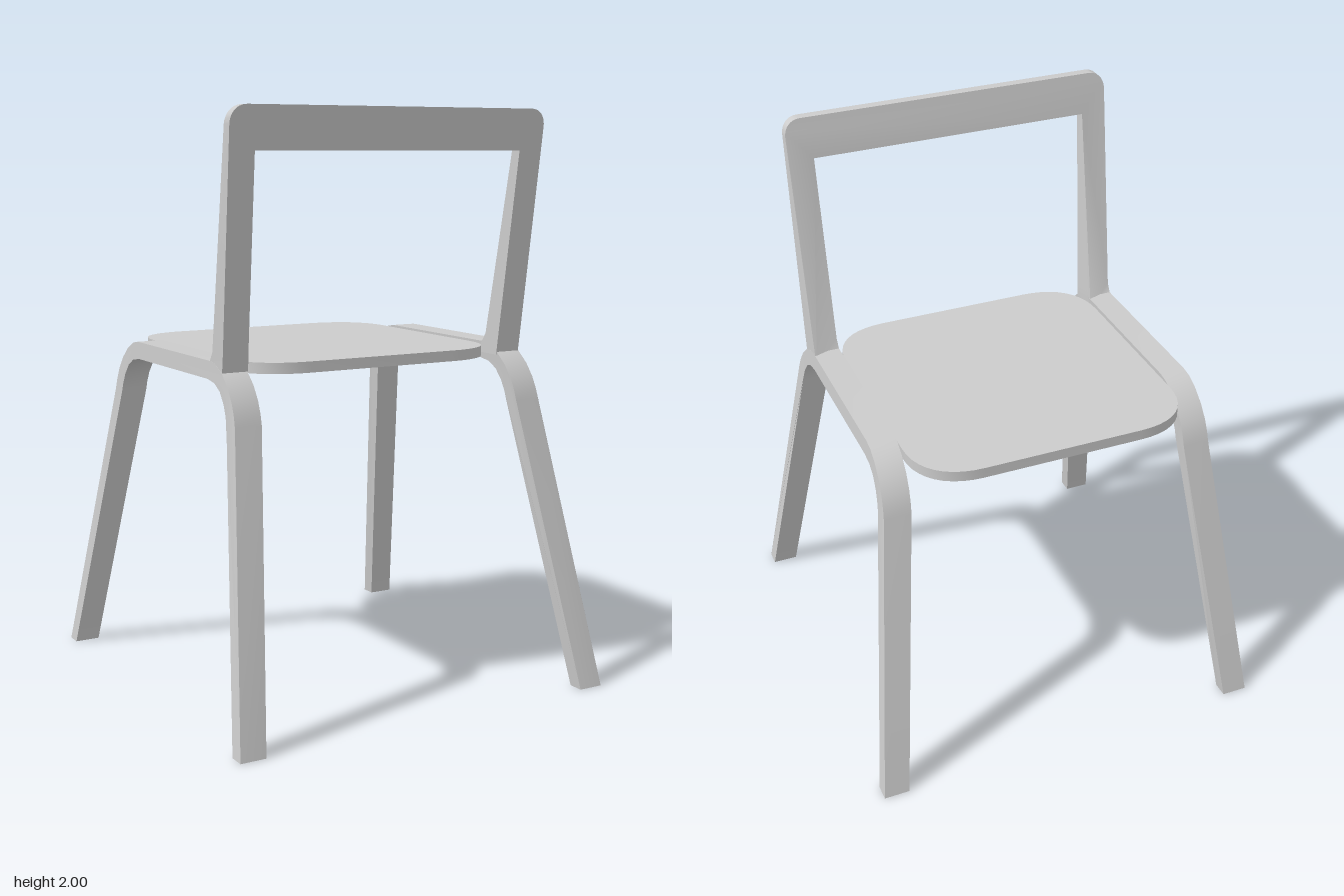
import * as THREE from 'three';
import { toCreasedNormals } from 'three/addons/utils/BufferGeometryUtils.js';

const material = new THREE.MeshStandardMaterial({ color: 0xcccccc });
const lerp = THREE.MathUtils.lerp;

// Extrude a shape by one unit, then place every vertex with a rule
function shapedMesh(name, shape, place) {
  const geo = new THREE.ExtrudeGeometry(shape, { depth: 1, bevelEnabled: false, curveSegments: 10 });
  const p = geo.attributes.position;
  for (let i = 0; i < p.count; i++) p.setXYZ(i, ...place(p.getX(i), p.getY(i), p.getZ(i)));
  const mesh = new THREE.Mesh(toCreasedNormals(geo, 0.55), material);
  mesh.name = name;
  return mesh;
}

// Inner and outer x of each side frame at heights 0, 1 and the seat rail
const spans = {
  left: [[0.62, 0.71], [0.495, 0.59], [0.483, 0.577]],
  right: [[-0.71, -0.62], [-0.6, -0.505], [-0.592, -0.5]],
};

function spanAt([foot, knee, rail], y) {
  const [a, b, t] = y < 1 ? [foot, knee, y] : [knee, rail, Math.min((y - 1) / 0.19, 1)];
  return [lerp(a[0], b[0], t), lerp(a[1], b[1], t)];
}

// Side profile (z, y): two splayed legs bent into one flat rail
function sideProfile() {
  const outer = [[0.722, 0], [0.485, 1], [0.475, 1.035], [0.457, 1.075], [0.425, 1.12], [0.38, 1.16], [0.335, 1.183], [0.295, 1.19]];
  const inner = [[0.28, 1.13], [0.33, 1.122], [0.37, 1.1], [0.4, 1.063], [0.418, 1.025], [0.425, 1], [0.667, 0]];
  const flip = (list) => list.map(([z, y]) => [-z, y]).reverse();
  const points = [...outer, ...flip(outer), ...flip(inner), ...inner];
  return new THREE.Shape(points.map(([z, y]) => new THREE.Vector2(z, y)));
}

// Open frame (x, y): two uprights and a top bar with rounded outer corners
function backShape() {
  const s = new THREE.Shape();
  s.moveTo(-0.592, 1.15);
  s.lineTo(-0.5, 1.15);
  s.lineTo(-0.5, 1.19);
  s.lineTo(-0.502, 1.22);
  s.lineTo(-0.527, 1.86);
  s.lineTo(0.483, 1.86);
  s.lineTo(0.483, 1.22);
  s.lineTo(0.483, 1.15);
  s.lineTo(0.577, 1.15);
  s.lineTo(0.577, 1.22);
  s.lineTo(0.573, 1.94);
  s.bezierCurveTo(0.573, 1.975, 0.55, 2, 0.515, 2);
  s.lineTo(-0.562, 2);
  s.bezierCurveTo(-0.597, 2, -0.62, 1.975, -0.62, 1.94);
  s.lineTo(-0.593, 1.22);
  s.lineTo(-0.592, 1.19);
  return s;
}

// Seat outline (x, -z) with soft corners
function seatShape() {
  const x0 = -0.495, x1 = 0.482, z0 = -0.415, z1 = 0.575;
  const rx = 0.21, rz = 0.2, k = 0.37;
  const s = new THREE.Shape();
  s.moveTo(x0 + rx, z0);
  s.lineTo(x1 - rx, z0);
  s.bezierCurveTo(x1 - rx * k, z0, x1, z0 + rz * k, x1, z0 + rz);
  s.lineTo(x1, z1 - rz);
  s.bezierCurveTo(x1, z1 - rz * k, x1 - rx * k, z1, x1 - rx, z1);
  s.lineTo(x0 + rx, z1);
  s.bezierCurveTo(x0 + rx * k, z1, x0, z1 - rz * k, x0, z1 - rz);
  s.lineTo(x0, z0 + rz);
  s.bezierCurveTo(x0, z0 + rz * k, x0 + rx * k, z0, x0 + rx, z0);
  return s;
}

export function createModel() {
  const chair = new THREE.Group();
  chair.name = 'chair';

  // Legs and rail on each side
  for (const [side, span] of Object.entries(spans)) {
    chair.add(shapedMesh(`${side}LegFrame`, sideProfile(), (z, y, d) => {
      const [lo, hi] = spanAt(span, y);
      return [lerp(hi, lo, d), y, z];
    }));
  }

  // Leaning back frame, thinner towards the top, with a small fillet at its foot
  chair.add(shapedMesh('backFrame', backShape(), (x, y, d) => {
    const near = 0.48 - (2 - y) * 0.2125 - Math.max(0, 1.22 - y) * 0.5;
    const far = 0.515 - (2 - y) * 0.16;
    return [x, y, lerp(near, far, d)];
  }));

  // Seat panel
  chair.add(shapedMesh('seat', seatShape(), (x, v, d) => [x, lerp(1.145, 1.182, d), -v]));

  return chair;
}
